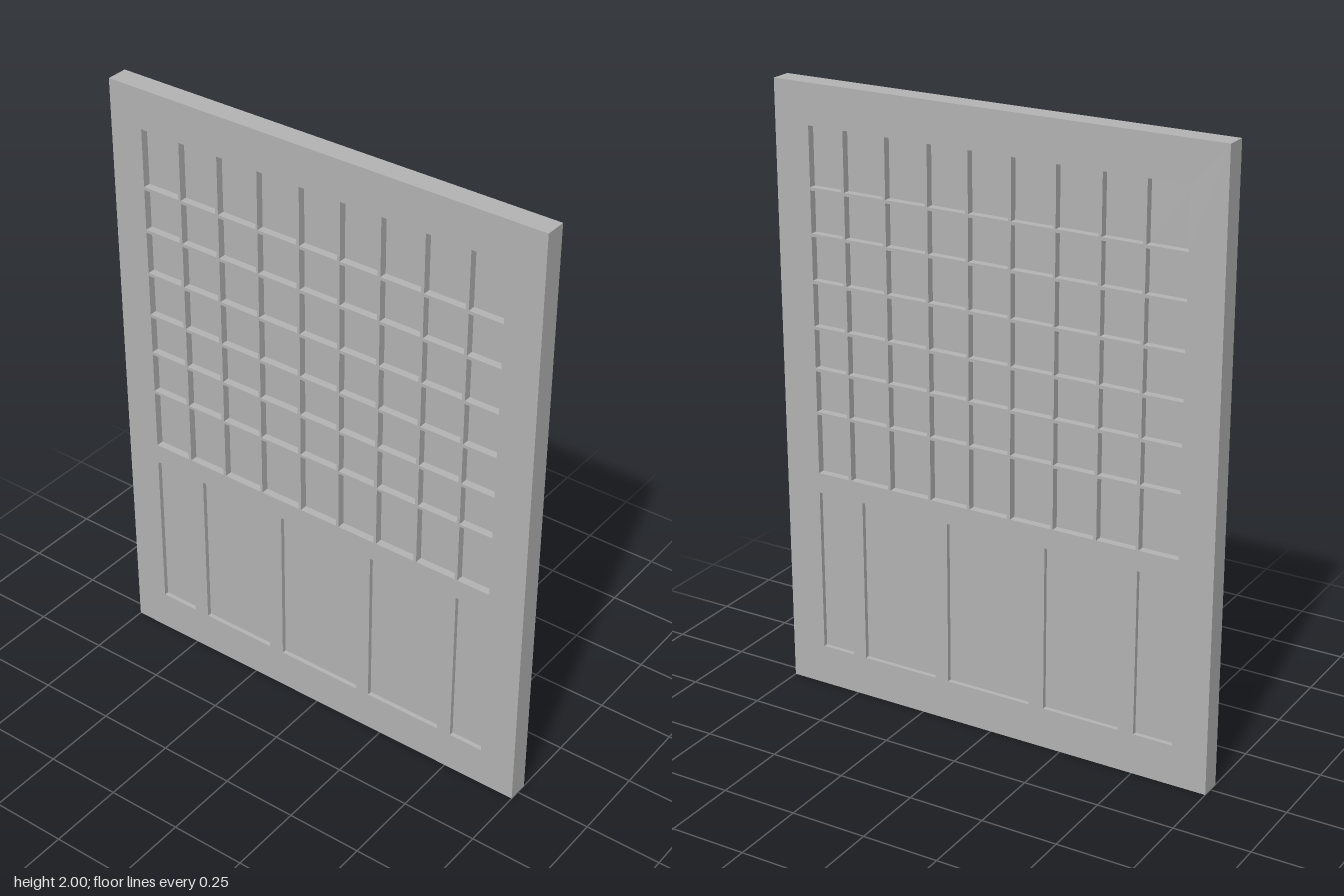
import * as THREE from 'three';

const DEPTH = 0.07;
const PANE_DEPTH = 0.02; // panes sit well back from both faces
const PANEL_DEPTH = 0.04; // lower panels are shallower recesses

// [start, end] spans of the openings
const paneColumns = [[-0.635, -0.505], [-0.495, -0.365], [-0.355, -0.217], [-0.21, -0.07], [-0.06, 0.074],
  [0.083, 0.213], [0.223, 0.36], [0.37, 0.507], [0.517, 0.63]];
const paneRows = [[0.747, 0.946], [0.955, 1.09], [1.1, 1.227], [1.237, 1.375], [1.385, 1.525],
  [1.535, 1.67], [1.68, 1.87]];
const panelColumns = [[-0.635, -0.503], [-0.45, -0.19], [-0.138, 0.155], [0.202, 0.467], [0.515, 0.63]];
const panelRow = [0.135, 0.68];

function rectangle(path, [x0, x1], [y0, y1]) {
  path.moveTo(x0, y0);
  path.lineTo(x1, y0);
  path.lineTo(x1, y1);
  path.lineTo(x0, y1);
  path.closePath();
  return path;
}

export function createModel() {
  const door = new THREE.Group();
  door.name = 'door';
  const grey = new THREE.MeshStandardMaterial({ color: 0xb3b3b3 });
  grey.name = 'plain grey';

  const outline = rectangle(new THREE.Shape(), [-0.75, 0.75], [0, 2]);

  // Cuts an opening through the frame and fills it with a thinner sheet
  function addInfill(name, xs, ys, depth) {
    outline.holes.push(rectangle(new THREE.Path(), xs, ys));
    const infill = new THREE.Mesh(new THREE.BoxGeometry(xs[1] - xs[0], ys[1] - ys[0], depth), grey);
    infill.position.set((xs[0] + xs[1]) / 2, (ys[0] + ys[1]) / 2, 0);
    infill.name = name;
    door.add(infill);
  }

  // Upper window grid
  for (const ys of paneRows) {
    for (const xs of paneColumns) addInfill('windowPane', xs, ys, PANE_DEPTH);
  }
  // Lower recessed panels
  for (const xs of panelColumns) addInfill('lowerPanel', xs, panelRow, PANEL_DEPTH);

  // Frame with its glazing bars, flush on both faces
  const frameGeometry = new THREE.ExtrudeGeometry(outline, { depth: DEPTH, bevelEnabled: false });
  frameGeometry.translate(0, 0, -DEPTH / 2);
  const frame = new THREE.Mesh(frameGeometry, grey);
  frame.name = 'frame';
  door.add(frame);

  return door;
}
